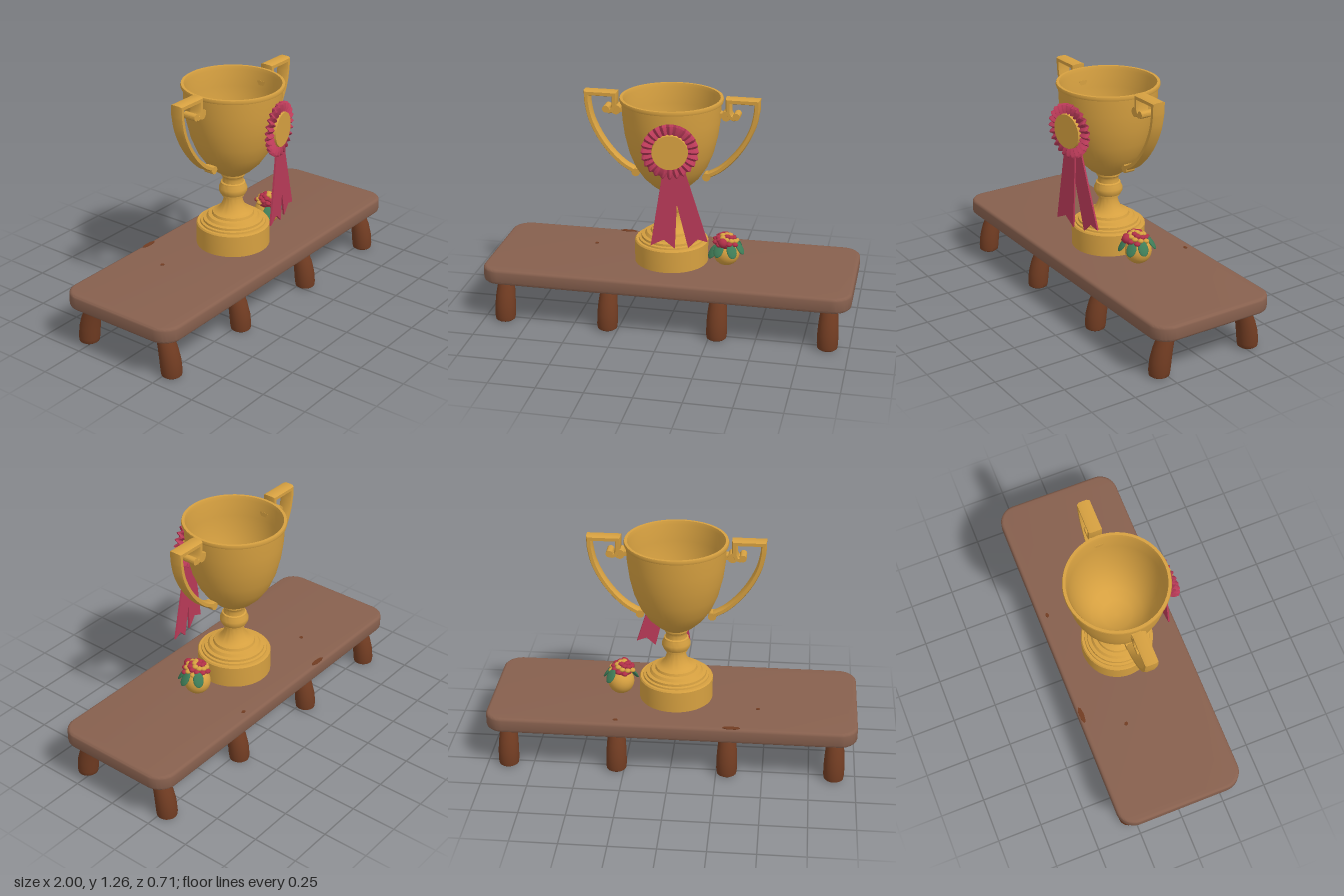
import * as THREE from 'three';
import { toCreasedNormals } from 'three/addons/utils/BufferGeometryUtils.js';

const mat = (name, color, side = THREE.FrontSide) => {
  const m = new THREE.MeshStandardMaterial({ color, side });
  m.name = name;
  return m;
};
const V2 = (x, y) => new THREE.Vector2(x, y);

// Bevelled band swept along a flat path, mitred at corners; width tapers from w0 to w1
function sweepBand(path, t, w0, w1) {
  const section = [[1, -.6], [1, .6], [.6, 1], [-.6, 1], [-1, .6], [-1, -.6], [-.6, -1], [.6, -1]];
  const n = path.length, k = section.length, pos = [], index = [];
  path.forEach((p, i) => {
    const a = V2().subVectors(path[Math.max(i, 1)], path[Math.max(i, 1) - 1]).normalize();
    const e = Math.min(i + 1, n - 1);
    const b = V2().subVectors(path[e], path[e - 1]).normalize();
    const s = t / (1 + a.dot(b)), w = w0 + (w1 - w0) * i / (n - 1);
    const nx = -(a.y + b.y) * s, ny = (a.x + b.x) * s;
    section.forEach(([u, v]) => pos.push(p.x + nx * u, p.y + ny * u, v * w));
    if (i < n - 1) for (let j = 0; j < k; j++) {
      const p0 = i * k + j, p1 = i * k + (j + 1) % k;
      index.push(p0, p1, p1 + k, p0, p1 + k, p0 + k);
    }
  });
  const g = new THREE.BufferGeometry();
  g.setAttribute('position', new THREE.Float32BufferAttribute(pos, 3));
  g.setIndex(index);
  return toCreasedNormals(g, 0.6);
}

export function createModel() {
  const gold = mat('gold', 0xd6a040), wood = mat('benchWood', 0x87604e);
  const darkWood = mat('legWood', 0x713c22), red = mat('ribbonRed', 0xb93a58);
  const green = mat('leafGreen', 0x3f7d58), crimson = mat('flowerRed', 0xb03048);
  const model = new THREE.Group();
  const add = (parent, name, geo, material, x = 0, y = 0, z = 0) => {
    const m = new THREE.Mesh(geo, material);
    m.name = name;
    m.position.set(x, y, z);
    parent.add(m);
    return m;
  };
  const group = (name, x, y, z) => {
    const g = new THREE.Group();
    g.name = name;
    g.position.set(x, y, z);
    model.add(g);
    return g;
  };

  // Bench top: rounded rectangle with bevelled edges
  const b = 0.016, X = 1 - b, Z = 0.355 - b, r = 0.085, top = new THREE.Shape();
  top.absarc(X - r, Z - r, r, 0, Math.PI / 2);
  top.absarc(-X + r, Z - r, r, Math.PI / 2, Math.PI);
  top.absarc(-X + r, -Z + r, r, Math.PI, Math.PI * 1.5);
  top.absarc(X - r, -Z + r, r, Math.PI * 1.5, Math.PI * 2);
  const topGeo = new THREE.ExtrudeGeometry(top, {
    depth: 0.085 - 2 * b, bevelThickness: b, bevelSize: b, bevelSegments: 3, curveSegments: 8,
  });
  topGeo.rotateX(-Math.PI / 2);
  add(model, 'benchTop', toCreasedNormals(topGeo, 0.6), wood, 0, 0.235 + b, 0);

  // Worn patches on the bench top
  [[-.33, -.335, .05, .014], [.29, -.305, .014, .01], [-.465, -.125, .011, .011]].forEach(([x, z, sx, sz]) => {
    const g = new THREE.CylinderGeometry(1, 1, 0.004, 7);
    g.scale(sx, 1, sz);
    add(model, 'wornPatch', g, darkWood, x, 0.3205, z);
  });

  // Legs: swollen, splayed outward to front and back
  const legProfile = [[0, 0], [.042, 0], [.053, .008], [.056, .03], [.056, .09], [.052, .15], [.045, .21], [.04, .26], [0, .26]];
  const legGeo = new THREE.LatheGeometry(legProfile.map(p => V2(...p)), 20);
  const legPos = legGeo.attributes.position;
  for (let i = 0; i < legPos.count; i++) {
    const y = legPos.getY(i);
    legPos.setZ(i, legPos.getZ(i) - 0.9 * y * y);
  }
  const legSmooth = toCreasedNormals(legGeo, 0.8);
  [-.885, -.308, .292, .885].forEach(x => [1, -1].forEach(s => {
    const leg = add(model, 'leg', legSmooth, darkWood, x, 0, s * 0.279);
    if (s < 0) leg.rotation.y = Math.PI;
  }));

  // Trophy: foot, stem, bowl and bowl interior in one profile
  const trophy = group('trophy', -0.01, 0, 0);
  const cup = [
    [0, .318], [.2, .318], [.2, .438], [.194, .446], [.18, .446], [.178, .455], [.165, .458], [.163, .47],
    [.145, .474], [.135, .488], [.115, .492], [.11, .505], [.09, .512], [.072, .53], [.058, .555], [.05, .585], [.05, .594],
    [.06, .598], [.06, .608], [.068, .612], [.077, .63], [.077, .648], [.068, .668], [.066, .678], [.058, .682],
    [.055, .7], [.058, .715], [.065, .722], [.065, .732], [.1, .755], [.15, .803], [.192, .865], [.225, .945],
    [.248, 1.04], [.26, 1.13], [.264, 1.222], [.273, 1.224], [.276, 1.234], [.273, 1.245], [.258, 1.245],
    [.252, 1.225], [.248, 1.13], [.235, 1.04], [.212, .95], [.178, .875], [.135, .82], [.08, .785], [0, .772],
  ];
  add(trophy, 'cup', toCreasedNormals(new THREE.LatheGeometry(cup.map(p => V2(...p)), 48), 0.6), gold);

  // Handles: squared at the top, tapering down to a scroll on the bowl
  const lower = new THREE.SplineCurve([[.456, 1.2], [.438, 1.11], [.395, 1.015], [.335, .93], [.265, .862], [.195, .822]].map(p => V2(...p)));
  const path = [[.352, 1.163], [.335, 1.154], [.317, 1.16], [.307, 1.182], [.306, 1.246], [.457, 1.246]]
    .map(p => V2(...p)).concat(lower.getPoints(20));
  const handleGeo = sweepBand(path, 0.0145, 0.037, 0.027);
  [0, Math.PI].forEach(turn => {
    const handle = new THREE.Group();
    handle.name = 'handle';
    handle.rotation.y = turn;
    trophy.add(handle);
    add(handle, 'handleBand', handleGeo, gold);
    // Scroll ends and the joint to the bowl
    [[.35, 1.166, .019, .074], [.296, 1.165, .026, .066], [.193, .817, .022, .054]].forEach(([x, y, rad, len]) => {
      const g = new THREE.CylinderGeometry(rad, rad, len, 16);
      g.rotateX(Math.PI / 2);
      add(handle, 'scroll', toCreasedNormals(g, 0.6), gold, x, y, 0);
    });
    add(handle, 'joint', new THREE.BoxGeometry(.05, .025, .05), gold, .273, 1.165, 0);
  });

  // Rosette: pleated ring, gold button and two swallow-tailed ribbons
  const rosette = group('rosette', .035, 1.035, .268);
  rosette.rotation.y = 0.19;
  const ringGeo = new THREE.TorusGeometry(.115, .032, 8, 144);
  const rp = ringGeo.attributes.position;
  for (let i = 0; i < rp.count; i++) {
    const x = rp.getX(i), y = rp.getY(i), wave = Math.cos(24 * Math.atan2(y, x));
    const out = (Math.hypot(x, y) - .083) / .064;
    const s = 1 + .02 * wave * out;
    rp.setXYZ(i, x * s, y * s, rp.getZ(i) * .5 + .011 * wave * (.4 + .6 * out));
  }
  add(rosette, 'pleatedRing', toCreasedNormals(ringGeo, 0.5), red);
  const button = new THREE.CylinderGeometry(.092, .098, .034, 40);
  button.rotateX(Math.PI / 2);
  add(rosette, 'rosetteButton', toCreasedNormals(button, 0.6), gold, 0, 0, .007);
  const tails = [
    [[-.035, -.1], [.045, -.1], [.027, -.538], [-.032, -.487], [-.1, -.52]],
    [[-.01, -.1], [.075, -.1], [.2, -.506], [.147, -.49], [.097, -.54]],
  ];
  tails.forEach((pts, i) => {
    const g = new THREE.ExtrudeGeometry(new THREE.Shape(pts.map(p => V2(...p)).reverse()), { depth: .01, bevelEnabled: false });
    add(rosette, 'ribbonTail', g, red, 0, 0, i ? -.016 : -.004);
  });

  // Round pot with a posy of flowers
  const posy = group('flowerPot', .295, .388, .008);
  const pot = new THREE.SphereGeometry(.072, 28, 18);
  add(posy, 'pot', pot, gold);
  const bloom = new THREE.SphereGeometry(.017, 10, 8);
  for (let i = 0; i < 30; i++) {
    const f = Math.sqrt((i + .5) / 30), a = i * 2.4;
    const m = add(posy, 'bloom', bloom, i % 5 < 2 ? gold : crimson,
      -.005 + .066 * f * Math.cos(a), .108 - .045 * f * f, .012 + .066 * f * Math.sin(a));
    m.scale.y = .7;
  }
  add(posy, 'posyCore', new THREE.SphereGeometry(.06, 16, 10), crimson, -.005, .064, .012).scale.y = .6;
  add(posy, 'largeBloom', new THREE.SphereGeometry(.026, 14, 10), crimson, -.01, .078, .068);

  // Leaves drooping around the pot
  const leafGeo = new THREE.SphereGeometry(1, 14, 10);
  leafGeo.scale(.028, .042, .009);
  [[.075, .04, .02, 1.3], [.04, .035, .07, .5], [-.065, .02, .055, -.8], [-.03, .04, .08, -.3], [.05, .05, -.05, 2.4]].forEach(([x, y, z, yaw]) => {
    const leaf = add(posy, 'leaf', leafGeo, green, x, y, z);
    leaf.rotation.set(-.6, yaw, 0, 'YXZ');
  });
  return model;
}
